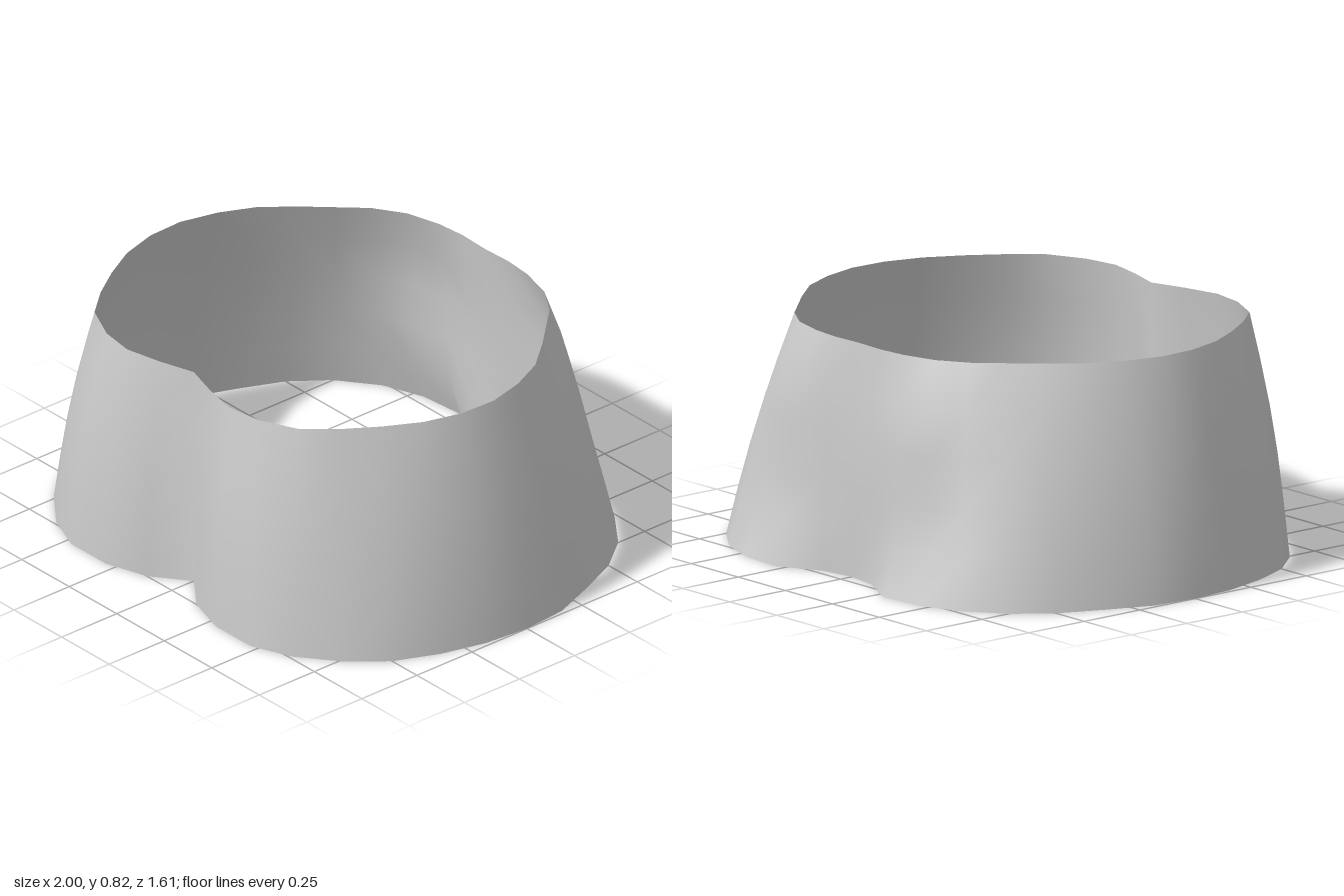
import * as THREE from 'three';

// Half outlines [x, z], from the front centre round the left side to the back centre
const HEM = [[0, 0.65], [0.13, 0.75], [0.29, 0.8], [0.47, 0.8], [0.62, 0.74], [0.76, 0.63],
  [0.87, 0.5], [0.94, 0.34], [0.985, 0.17], [1, 0], [0.985, -0.17], [0.92, -0.34],
  [0.85, -0.5], [0.75, -0.63], [0.61, -0.735], [0.46, -0.79], [0.29, -0.805], [0.13, -0.72], [0, -0.7]];
const RIM = [[0, 0.65], [0.13, 0.69], [0.27, 0.72], [0.4, 0.7], [0.54, 0.635], [0.63, 0.53],
  [0.71, 0.41], [0.78, 0.28], [0.82, 0.14], [0.825, 0], [0.79, -0.14], [0.73, -0.27],
  [0.63, -0.39], [0.55, -0.475], [0.47, -0.56], [0.36, -0.63], [0.23, -0.665], [0.12, -0.675], [0, -0.67]];
const HEIGHT = 0.825;
const ROWS = 5;

// Mirror a half outline into a closed ring
const mirror = (half) => [...half, ...half.slice(1, -1).reverse().map(([x, z]) => [-x, z])];

function bandGeometry() {
  const hem = mirror(HEM), rim = mirror(RIM), n = hem.length;
  const positions = [], index = [];
  for (let r = 0; r <= ROWS; r++) {
    const t = r / ROWS, swell = Math.sin(Math.PI * t);
    for (let i = 0; i < n; i++) {
      let x = THREE.MathUtils.lerp(hem[i][0], rim[i][0], t);
      let z = THREE.MathUtils.lerp(hem[i][1], rim[i][1], t);
      // gentle outward swell, fading at the front cleft
      const cleft = z > 0 ? Math.min(1, Math.abs(x) / 0.25) : 1;
      const k = 0.018 * swell * cleft / Math.hypot(x, z);
      // shoulder-blade hollow low on the back, fuller above
      const blade = z < 0 ? Math.exp(-(((Math.abs(x) - 0.36) / 0.16) ** 2)) : 0;
      x += x * k;
      z += z * k + blade * (0.03 * Math.sin(2 * Math.PI * t) + 0.028 * swell);
      positions.push(x, HEIGHT * t, z);
      if (r < ROWS) {
        const a = r * n + i, b = r * n + (i + 1) % n;
        index.push(a, b, b + n, a, b + n, a + n);
      }
    }
  }
  const geometry = new THREE.BufferGeometry();
  geometry.setAttribute('position', new THREE.Float32BufferAttribute(positions, 3));
  geometry.setIndex(index);
  geometry.computeVertexNormals();
  return geometry;
}

export function createModel() {
  const fabric = new THREE.MeshStandardMaterial({ color: 0xcccccc, side: THREE.DoubleSide });
  fabric.name = 'light grey fabric';
  const band = new THREE.Mesh(bandGeometry(), fabric);
  band.name = 'fabricBand';
  const model = new THREE.Group();
  model.name = 'tubeTop';
  model.add(band);
  return model;
}
